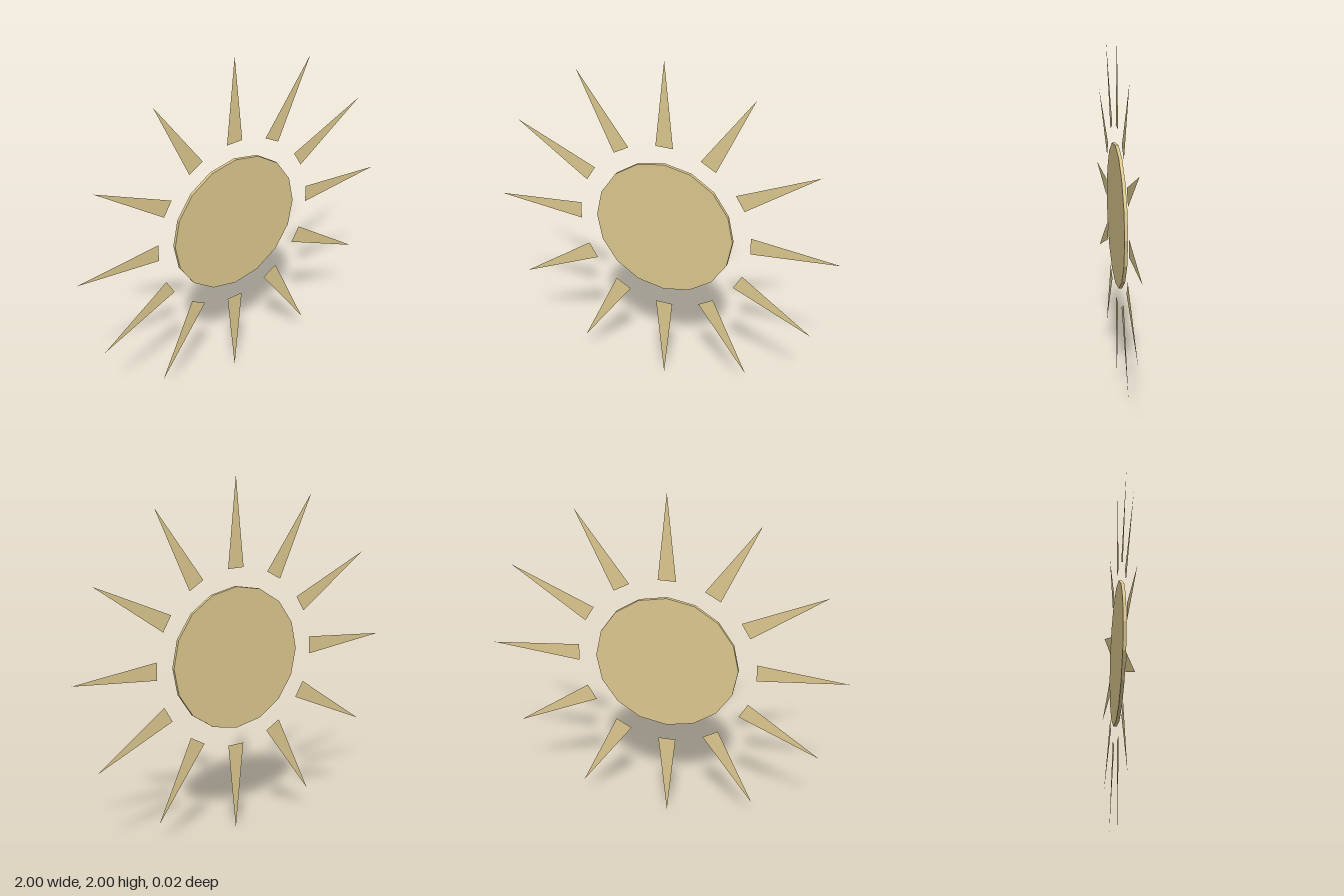
import * as THREE from 'three';

export function createModel() {
  const model = new THREE.Group();
  model.name = 'sun';
  const gold = new THREE.MeshStandardMaterial({ color: 0xdcc78e, flatShading: true });
  const thinGold = gold.clone();
  thinGold.side = THREE.DoubleSide;

  // Sixteen-sided disc facing the front
  const disc = new THREE.Mesh(new THREE.CylinderGeometry(0.4, 0.4, 0.018, 16).rotateX(Math.PI / 2), gold);
  disc.name = 'disc';
  disc.position.y = 1;
  model.add(disc);

  // Twelve flat triangular rays around the disc
  const rays = new THREE.Group();
  rays.name = 'rays';
  rays.position.y = 1;
  const rayShape = new THREE.Shape([
    new THREE.Vector2(-0.05, 0.5),
    new THREE.Vector2(0.05, 0.5),
    new THREE.Vector2(0, 1),
  ]);
  const rayGeometry = new THREE.ShapeGeometry(rayShape);
  for (let i = 0; i < 12; i++) {
    const ray = new THREE.Mesh(rayGeometry, thinGold);
    ray.name = `ray${i + 1}`;
    ray.rotation.z = (i * Math.PI) / 6;
    rays.add(ray);
  }
  model.add(rays);
  return model;
}
